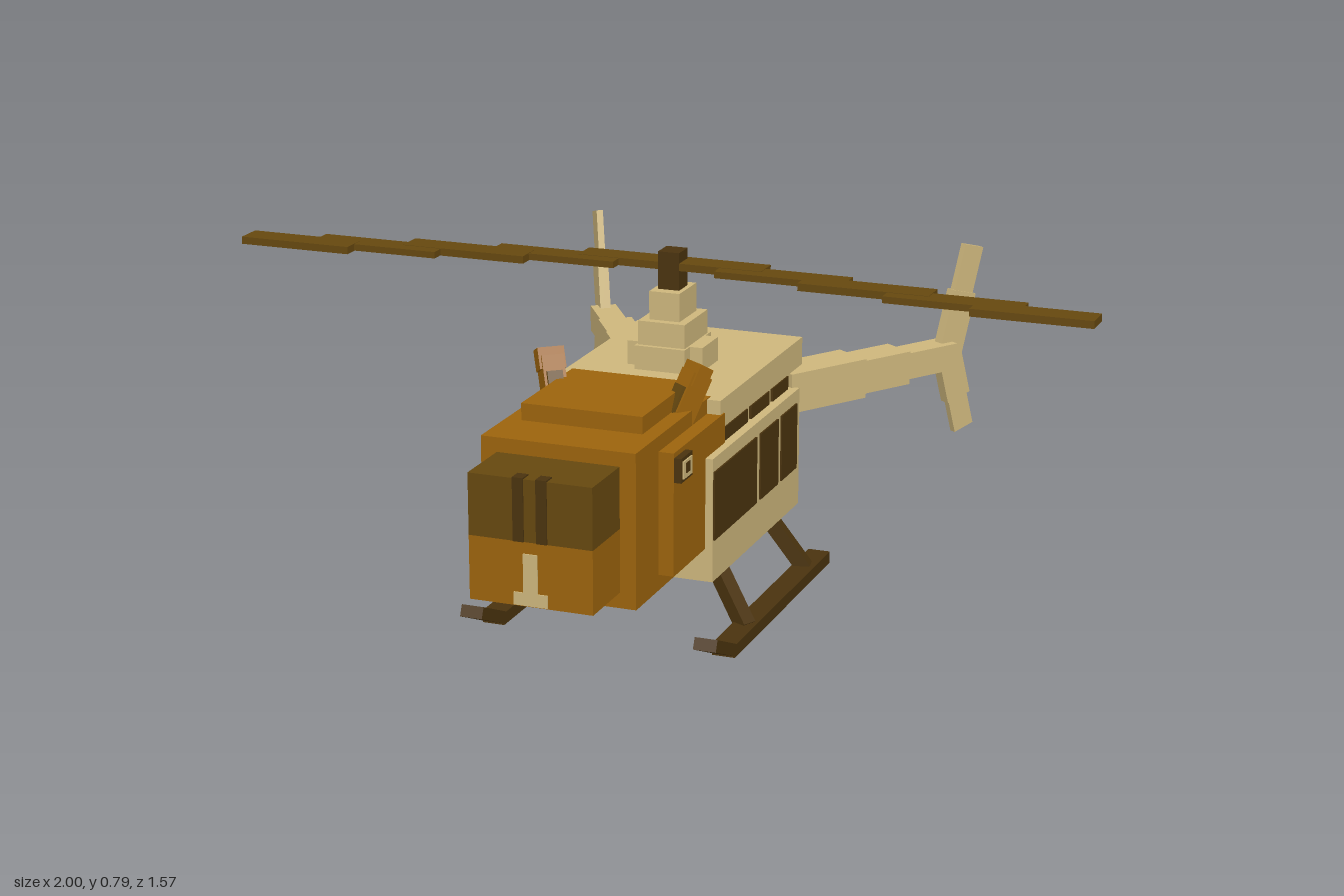
import * as THREE from 'three';

const mat = (name, color) => {
  const m = new THREE.MeshStandardMaterial({ color });
  m.name = name;
  return m;
};

export function createModel() {
  const tan = mat('tan', 0xcdb67c);
  const orange = mat('orange brown', 0x9c630c);
  const brown = mat('brown', 0x66480f);
  const dark = mat('dark brown', 0x4a330e);

  const model = new THREE.Group();
  model.name = 'animalHelicopter';

  // Box given by its extents along each axis
  function box(name, m, [x0, x1], [y0, y1], [z0, z1], parent = model) {
    const mesh = new THREE.Mesh(new THREE.BoxGeometry(x1 - x0, y1 - y0, z1 - z0), m);
    mesh.position.set((x0 + x1) / 2, (y0 + y1) / 2, (z0 + z1) / 2);
    mesh.name = name;
    parent.add(mesh);
    return mesh;
  }
  // Box symmetric about x = 0
  const mid = (name, m, hx, y, z) => box(name, m, [-hx, hx], y, z);
  // Box on one side, mirrored by s
  const side = (name, m, s, [x0, x1], y, z) =>
    box(name, m, s > 0 ? [x0, x1] : [-x1, -x0], y, z);
  // Square bar between two points
  function beam(name, m, a, b, w, h) {
    const A = new THREE.Vector3(...a), B = new THREE.Vector3(...b);
    const mesh = new THREE.Mesh(new THREE.BoxGeometry(w, h, A.distanceTo(B)), m);
    mesh.position.copy(A).add(B).multiplyScalar(0.5);
    mesh.lookAt(B);
    mesh.name = name;
    model.add(mesh);
  }

  // Cabin
  mid('lowerCabin', tan, 0.225, [0.145, 0.425], [-0.25, 0.32]);
  mid('cabinCore', tan, 0.2, [0.148, 0.46], [-0.325, 0.22]);
  mid('roof', tan, 0.205, [0.46, 0.525], [-0.325, 0.22]);
  mid('rearPanel', tan, 0.172, [0.175, 0.46], [-0.385, -0.3]);

  // Head and snout
  mid('crown', orange, 0.138, [0.15, 0.565], [0.23, 0.508]);
  mid('head', orange, 0.174, [0.185, 0.527], [0.2, 0.636]);
  mid('cheeks', orange, 0.208, [0.22, 0.493], [0.2, 0.508]);
  mid('lowerSnout', orange, 0.138, [0.22, 0.36], [0.62, 0.782]);
  mid('upperSnout', brown, 0.138, [0.36, 0.495], [0.62, 0.782]);
  mid('mouthLine', tan, 0.038, [0.222, 0.25], [0.78, 0.785]);
  mid('mouthStem', tan, 0.016, [0.25, 0.335], [0.78, 0.785]);

  for (const s of [1, -1]) {
    // Nostril stripes
    side('nostrilFront', dark, s, [0.014, 0.038], [0.36, 0.497], [0.78, 0.785]);
    side('nostrilTop', dark, s, [0.014, 0.038], [0.493, 0.498], [0.755, 0.785]);

    // Eyes
    side('eyeSocket', dark, s, [0.2, 0.224], [0.428, 0.482], [0.44, 0.506]);
    side('eyeWhite', tan, s, [0.222, 0.227], [0.435, 0.474], [0.447, 0.498]);
    side('pupil', dark, s, [0.225, 0.229], [0.446, 0.468], [0.464, 0.485]);

    // Ears
    beam('ear', orange, [s * 0.14, 0.5, 0.315], [s * 0.172, 0.6, 0.275], 0.05, 0.05);
    beam('earTip', orange, [s * 0.163, 0.575, 0.287], [s * 0.177, 0.618, 0.27], 0.06, 0.035);
    beam('innerEar', brown, [s * 0.128, 0.505, 0.332], [s * 0.15, 0.578, 0.305], 0.035, 0.02);

    // Windows, main row and narrow upper row
    for (const [z0, z1] of [[0.047, 0.317], [-0.097, 0.022], [-0.226, -0.12]]) {
      side('sideWindow', dark, s, [0.223, 0.229], [0.24, 0.395], [z0, z1]);
      side('upperWindow', dark, s, [0.198, 0.206], [0.427, 0.458], [z0, Math.min(z1, 0.235)]);
    }

    // Landing skids
    side('skid', dark, s, [0.246, 0.298], [0, 0.028], [-0.27, 0.375]);
    beam('skidToe', dark, [s * 0.272, 0.014, 0.365], [s * 0.272, 0.068, 0.488], 0.052, 0.027);
    beam('frontStrut', dark, [s * 0.272, 0.02, 0.235], [s * 0.175, 0.155, 0.187], 0.034, 0.034);
    beam('rearStrut', dark, [s * 0.272, 0.02, -0.168], [s * 0.175, 0.155, -0.148], 0.034, 0.034);

    // Tail boom, running along its local -z, with swept fins
    const tail = new THREE.Group();
    tail.name = 'tailBoom';
    tail.position.set(s * 0.2, 0.41, -0.32);
    tail.rotation.y = -s * 0.579;
    model.add(tail);
    box('boomRoot', tan, [-0.05, 0.05], [-0.047, 0.047], [-0.16, 0.06], tail);
    box('boomMiddle', tan, [-0.042, 0.042], [-0.04, 0.04], [-0.3, -0.1], tail);
    box('boomEnd', tan, [-0.032, 0.032], [-0.032, 0.032], [-0.455, -0.28], tail);
    for (const [d, len] of [[1, 0.268], [-1, 0.2]]) {
      const fin = new THREE.Group();
      fin.name = d > 0 ? 'upperFin' : 'lowerFin';
      fin.position.set(0, 0, -0.45);
      fin.rotation.x = -d * 0.27;
      tail.add(fin);
      const y = (a, b) => (d > 0 ? [a, b] : [-b, -a]);
      box('finBase', tan, [-0.013, 0.013], y(-0.01, len * 0.58), [-0.035, 0.035], fin);
      box('finTip', tan, [-0.008, 0.008], y(len * 0.5, len), [-0.029, 0.029], fin);
    }
  }

  // Stepped rotor mast
  const mz = -0.024;
  for (const [hx, hz, top] of [
    [0.09, 0.05, 0.58], [0.06, 0.083, 0.58], [0.056, 0.072, 0.635], [0.036, 0.053, 0.7],
  ]) mid('mast', tan, hx, [0.52, top], [mz - hz, mz + hz]);
  mid('rotorHub', dark, 0.025, [0.7, 0.786], [mz - 0.027, mz + 0.027]);

  // Rotor blades in overlapping steps
  mid('rotorCentre', brown, 0.218, [0.745, 0.762], [-0.062, 0.002]);
  [[0.12, 0.42], [0.325, 0.622], [0.528, 0.833], [0.73, 1]].forEach((x, i) => {
    const z = -0.029 + i * 0.033, dy = (i % 2) ? 0 : 0.001;
    for (const s of [1, -1]) {
      side('rotorBlade', brown, s, x, [0.745 + dy, 0.762 - dy], [z, z + 0.064]);
    }
  });

  return model;
}
